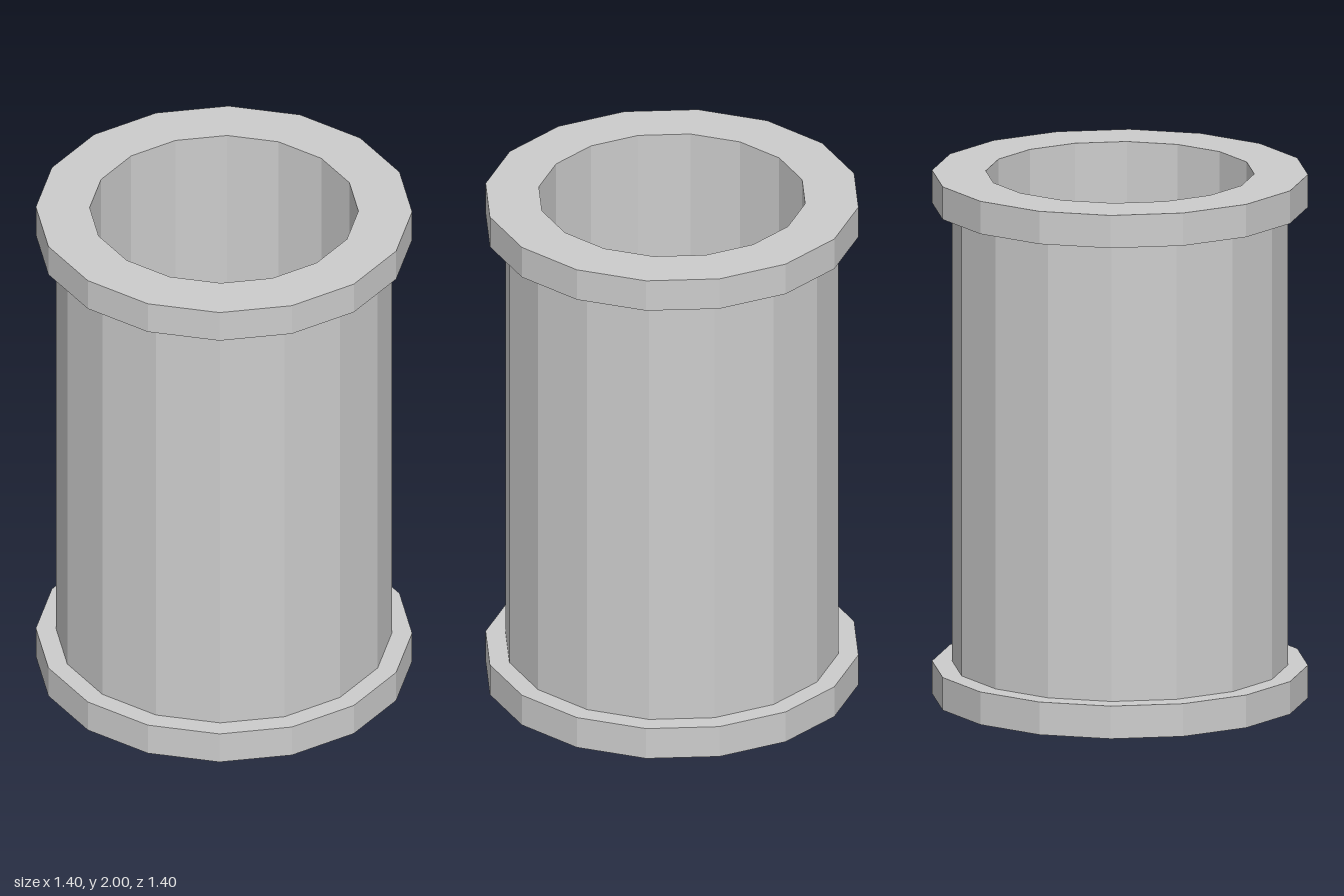
import * as THREE from 'three';

const SIDES = 16;
const BORE = 0.5, WALL = 0.625, RIM = 0.7;
const HEIGHT = 2, FLANGE = 0.125;

// Faceted solid of revolution; the profile runs anticlockwise so faces point outward.
function turned(name, profile, material) {
  const points = profile.map(([r, y]) => new THREE.Vector2(r, y));
  const geometry = new THREE.LatheGeometry(points, SIDES).toNonIndexed();
  geometry.computeVertexNormals();
  const mesh = new THREE.Mesh(geometry, material);
  mesh.name = name;
  return mesh;
}

export function createModel() {
  const model = new THREE.Group();
  model.name = 'flangedPipe';
  const grey = new THREE.MeshStandardMaterial({ color: 0xcccccc });
  grey.name = 'pipe grey';

  const low = FLANGE, high = HEIGHT - FLANGE;

  // Outer wall between the flanges
  model.add(turned('outerWall', [[WALL, low], [WALL, high]], grey));

  // Bore running the full height, facing inward
  model.add(turned('bore', [[BORE, HEIGHT], [BORE, 0]], grey));

  // Flanges: end face, rim and the ledge back to the wall
  model.add(turned('bottomFlange', [[BORE, 0], [RIM, 0], [RIM, low], [WALL, low]], grey));
  model.add(turned('topFlange', [[WALL, high], [RIM, high], [RIM, HEIGHT], [BORE, HEIGHT]], grey));

  return model;
}
